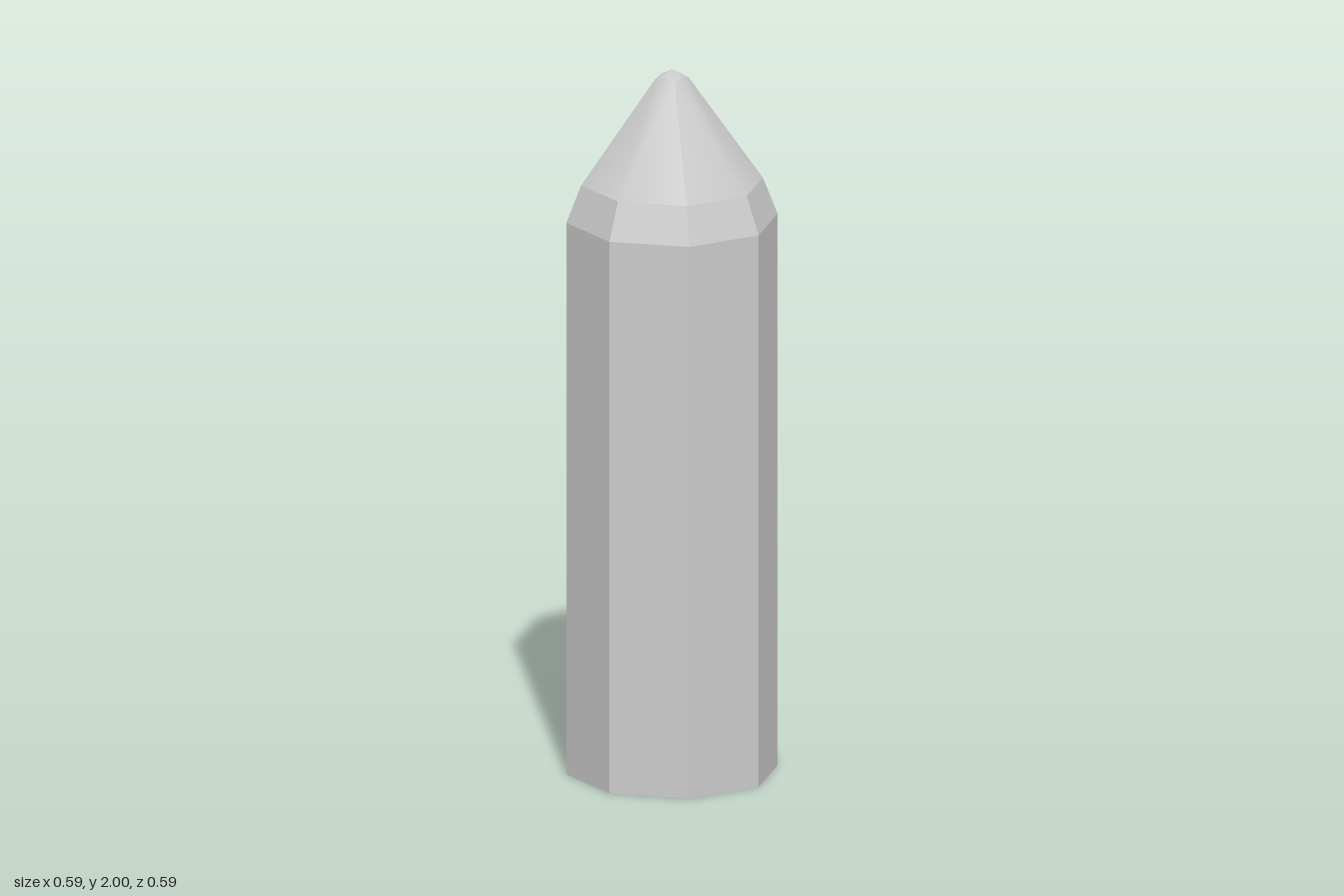
import * as THREE from 'three';

const R = 0.294;          // body radius
const SHOULDER_R = 0.253; // radius where the nose begins
const BODY_TOP = 1.575;
const NOSE_BASE = 1.68;
const TIP = 0.033;        // half width of the small square tip

const flat = new THREE.MeshStandardMaterial({ color: 0xcccccc, flatShading: true, side: THREE.DoubleSide });
const smooth = new THREE.MeshStandardMaterial({ color: 0xcccccc, side: THREE.DoubleSide });

function mesh(name, geometry, material) {
  const m = new THREE.Mesh(geometry, material);
  m.name = name;
  return m;
}

// Point k (of eight) on an octagonal ring
function octPoint(k, r, y) {
  const a = k * Math.PI / 4;
  return [r * Math.sin(a), y, r * Math.cos(a)];
}

// Point k on the square tip ring: corners for odd k, edge middles for even k
function tipPoint(k) {
  const corner = Math.abs(k % 2) === 1;
  return octPoint(k, corner ? TIP * Math.SQRT2 : TIP, corner ? 1.975 : 1.984);
}

function indexed(points, index) {
  const g = new THREE.BufferGeometry();
  g.setAttribute('position', new THREE.Float32BufferAttribute(points.flat(), 3));
  g.setIndex(index);
  g.computeVertexNormals();
  return g;
}

export function createModel() {
  const model = new THREE.Group();
  model.name = 'pointedPost';

  // Open-bottomed octagonal shaft
  const shaft = mesh('shaft', new THREE.CylinderGeometry(R, R, BODY_TOP, 8, 1, true), flat);
  shaft.position.y = BODY_TOP / 2;
  model.add(shaft);

  // Bevelled shoulder
  const height = NOSE_BASE - BODY_TOP;
  const shoulder = mesh('shoulder', new THREE.CylinderGeometry(SHOULDER_R, R, height, 8, 1, true), flat);
  shoulder.position.y = BODY_TOP + height / 2;
  model.add(shoulder);

  // Four nose panels, each smooth inside and creased along the diagonal ridges
  const nose = new THREE.Group();
  nose.name = 'nose';
  for (let q = 0; q < 4; q++) {
    const ks = [2 * q - 1, 2 * q, 2 * q + 1];
    const points = [...ks.map(k => octPoint(k, SHOULDER_R, NOSE_BASE)), ...ks.map(tipPoint)];
    const index = [0, 1, 3, 1, 4, 3, 1, 2, 5, 1, 5, 4];
    nose.add(mesh('nosePanel', indexed(points, index), smooth));
  }
  model.add(nose);

  // Small rounded tip
  const points = [[0, 2, 0]];
  const index = [];
  for (let k = 0; k < 8; k++) {
    points.push(tipPoint(k));
    index.push(0, k + 1, (k + 1) % 8 + 1);
  }
  model.add(mesh('tip', indexed(points, index), smooth));

  return model;
}
